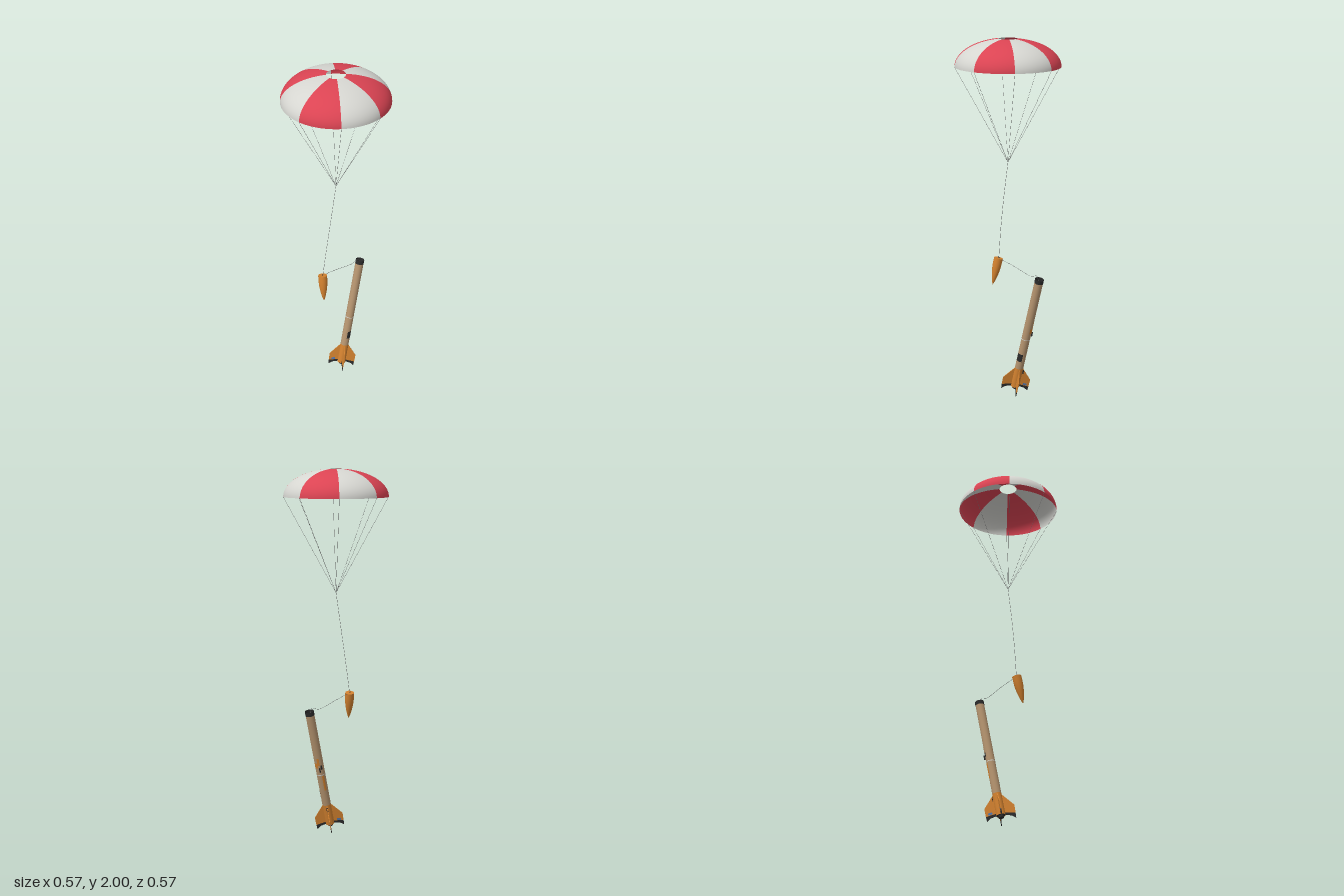
import * as THREE from 'three';

const mat = (name, color, side = THREE.FrontSide) => {
  const m = new THREE.MeshStandardMaterial({ color, side });
  m.name = name;
  return m;
};

const V = (x, y, z) => new THREE.Vector3(x, y, z);
const V2 = (x, y) => new THREE.Vector2(x, y);

export function createModel() {
  const red = mat('canopy red', 0xdb4453, THREE.DoubleSide);
  const white = mat('canopy white', 0xd6d6d1, THREE.DoubleSide);
  const cordGrey = mat('cord grey', 0x6a6a6a);
  const orange = mat('orange paint', 0xd2812f, THREE.DoubleSide);
  const tan = mat('tan cardboard', 0xb5946f, THREE.DoubleSide);
  const black = mat('black paint', 0x2b2b2b, THREE.DoubleSide);
  const blue = mat('blue paint', 0x5577aa);

  const model = new THREE.Group();
  model.name = 'parachuteRocket';
  const add = (parent, name, geometry, material) => {
    const mesh = new THREE.Mesh(geometry, material);
    mesh.name = name;
    parent.add(mesh);
    return mesh;
  };
  const cord = (name, points, radius = 0.0009) => {
    const curve = points.length === 2 ? new THREE.LineCurve3(...points) : new THREE.CatmullRomCurve3(points);
    add(model, name, new THREE.TubeGeometry(curve, points.length === 2 ? 1 : 24, radius, 5), cordGrey);
  };

  // Canopy: eight gores of a flattened dome with a vent at the crown
  const rim = 0.283, vent = 0.05, rimY = 1.853, knot = V(0, 1.335, 0);
  const start = Math.asin(vent / rim);
  const profile = [];
  for (let i = 0; i <= 24; i++) {
    const a = Math.PI / 2 + (start - Math.PI / 2) * (i / 24);
    profile.push(V2(rim * Math.sin(a), rimY + 0.1494 * Math.cos(a)));
  }
  for (let i = 0; i < 8; i++) {
    const phi = i * Math.PI / 4;
    add(model, 'canopyGore', new THREE.LatheGeometry(profile, 12, phi, Math.PI / 4), i % 2 ? white : red);
    cord('shroudLine', [V(rim * Math.sin(phi), rimY, rim * Math.cos(phi)), knot], 0.0007);
  }

  // Main cord to the nose cone, shock cord on to the body tube
  cord('mainCord', [knot, V(-0.033, 1.14, -0.006), V(-0.062, 0.95, -0.015), V(-0.085, 0.768, -0.025)]);
  cord('shockCord', [V(-0.085, 0.768, -0.025), V(0.03, 0.742, -0.02), V(0.153, 0.713, -0.01),
    V(0.2, 0.726, 0), V(0.213, 0.69, 0)]);

  // Nose cone hanging point down
  const nose = new THREE.Group();
  nose.name = 'noseCone';
  const noseTop = V(-0.087, 0.768, -0.025), noseTip = V(-0.108, 0.614, 0.002);
  const noseLength = noseTop.distanceTo(noseTip);
  nose.position.copy(noseTip);
  nose.quaternion.setFromUnitVectors(V(0, 1, 0), noseTop.clone().sub(noseTip).normalize());
  const ogive = [];
  for (let i = 0; i <= 14; i++) {
    const t = i / 14;
    ogive.push(V2(0.025 * Math.sin(t * Math.PI / 2) ** 0.8, t * noseLength * 0.84));
  }
  ogive.push(V2(0.025, noseLength));
  add(nose, 'noseShell', new THREE.LatheGeometry(ogive, 28), orange);
  const base = add(nose, 'noseBase', new THREE.CircleGeometry(0.025, 28), orange);
  base.rotation.x = -Math.PI / 2;
  base.position.y = noseLength;
  const eyelet = add(nose, 'eyelet', new THREE.TorusGeometry(0.004, 0.001, 6, 14), black);
  eyelet.position.y = noseLength + 0.003;
  model.add(nose);

  // Rocket body, leaning; built upright along local y
  const rocket = new THREE.Group();
  rocket.name = 'rocket';
  rocket.position.set(0.05, 0.035, 0);
  rocket.rotation.z = -0.243;
  model.add(rocket);
  const R = 0.024;
  const sleeve = (name, y0, y1, material, radius = R, phi = 0, arc = Math.PI * 2) => {
    const g = new THREE.CylinderGeometry(radius, radius, y1 - y0, 28, 1, true, phi - arc / 2, arc);
    g.translate(0, (y0 + y1) / 2, 0);
    return add(rocket, name, g, material);
  };
  sleeve('tailSection', 0, 0.125, orange);
  sleeve('bodyTube', 0.125, 0.674, tan);
  sleeve('tubeCollar', 0.674, 0.697, black, R + 0.0008);
  sleeve('tubeLining', 0.6, 0.696, black, R - 0.002);
  sleeve('paleBand', 0.315, 0.319, white, R + 0.0005);

  // Painted panels around the tube
  const skin = R + 0.0006;
  sleeve('frontPanel', 0.175, 0.222, black, skin, 0.05, 1.5);
  sleeve('sidePanel', 0.36, 0.39, orange, skin, Math.PI / 2, 0.9);
  sleeve('rearStripe', 0.22, 0.31, orange, skin, 2.75, 0.5);
  sleeve('rearUpperPatch', 0.375, 0.42, orange, skin, 2.2, 0.5);
  sleeve('rearMark', 0.35, 0.375, black, skin, 2.75, 0.4);

  // Launch lugs
  for (const y of [0.1, 0.35]) {
    const lug = add(rocket, 'launchLug', new THREE.CylinderGeometry(0.004, 0.004, 0.025, 10), black);
    lug.position.set(0.028 * Math.sin(2.3), y, 0.028 * Math.cos(2.3));
  }

  // Motor and its nozzle
  const motor = add(rocket, 'motor', new THREE.CylinderGeometry(0.014, 0.014, 0.03, 20), black);
  motor.position.y = 0.003;
  const plate = add(rocket, 'tailPlate', new THREE.CircleGeometry(R, 28), black);
  plate.rotation.x = Math.PI / 2;
  plate.position.y = 0.002;

  // Four swept fins with black trailing edges
  const slab = (points, depth) => {
    const g = new THREE.ExtrudeGeometry(new THREE.Shape(points.map(p => V2(...p))), { depth, bevelEnabled: false });
    return g.translate(0, 0, -depth / 2);
  };
  const finPanel = slab([[0.022, 0.014], [0.06, 0.008], [0.0775, 0.004], [0.079, 0.05], [0.022, 0.122]], 0.004);
  const finEdge = slab([[0.022, 0.002], [0.055, -0.006], [0.076, -0.022], [0.0775, 0.004], [0.06, 0.008], [0.022, 0.014]], 0.004);
  const finMark = slab([[0.042, 0.014], [0.064, 0.01], [0.064, 0.022], [0.042, 0.026]], 0.0052);
  for (let i = 0; i < 4; i++) {
    const fin = new THREE.Group();
    fin.name = 'fin';
    fin.rotation.y = Math.PI / 4 + i * Math.PI / 2;
    add(fin, 'finPanel', finPanel, orange);
    add(fin, 'finTrailingEdge', finEdge, black);
    if (i < 2) add(fin, 'finMark', finMark, blue);
    rocket.add(fin);
  }
  return model;
}
